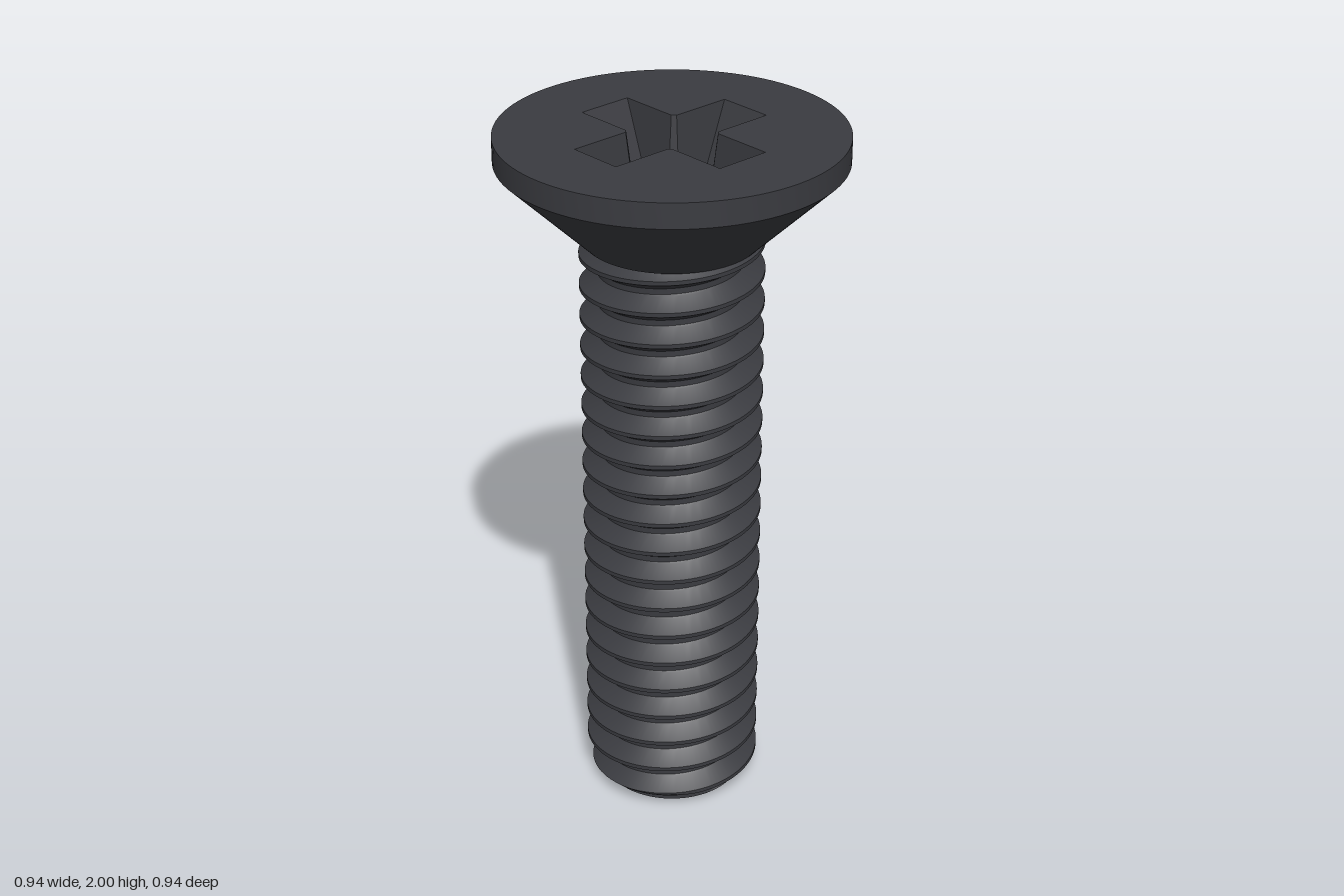
import * as THREE from 'three';
import { toCreasedNormals } from 'three/addons/utils/BufferGeometryUtils.js';

const SEG = 96;
const HEAD_R = 0.47, SHANK_R = 0.2, THREAD_R = 0.25;
const PITCH = 0.0906, PHASE = 0.085, THREAD_TOP = 1.72;
const DEPTH = 0.22, DRILL_R = 0.092;

// One thread pitch: [fraction of pitch, radius], starting at the crest centre
const PROFILE = [
  [0, THREAD_R], [0.065, THREAD_R], [0.36, 0.205], [0.41, SHANK_R],
  [0.59, SHANK_R], [0.64, 0.205], [0.935, THREAD_R], [1, THREAD_R],
];

function threadRadius(phase) {
  const t = phase - Math.floor(phase);
  for (let i = 1; i < PROFILE.length; i++) {
    const [t0, r0] = PROFILE[i - 1], [t1, r1] = PROFILE[i];
    if (t <= t1) return r0 + ((r1 - r0) * (t - t0)) / (t1 - t0);
  }
  return THREAD_R;
}

// Right-handed helical surface, cut flat at both ends and chamfered at the tip
function threadGeometry() {
  const point = (i, turn, t) => {
    const f = i / SEG, a = f * Math.PI * 2;
    const y = THREE.MathUtils.clamp((turn + t + f) * PITCH + PHASE, 0, THREAD_TOP);
    const r = Math.min(threadRadius((y - PHASE) / PITCH - f), SHANK_R + y);
    return new THREE.Vector3(Math.cos(a) * r, y, -Math.sin(a) * r);
  };
  const pos = [];
  const triangle = (a, b, c) => {
    const area = b.clone().sub(a).cross(c.clone().sub(a)).length();
    if (area > 1e-8) for (const p of [a, b, c]) pos.push(p.x, p.y, p.z);
  };
  const turns = Math.ceil(THREAD_TOP / PITCH) + 1;
  for (let turn = -3; turn < turns; turn++) {
    for (let j = 1; j < PROFILE.length; j++) {
      for (let i = 0; i < SEG; i++) {
        const a = point(i, turn, PROFILE[j - 1][0]), b = point(i + 1, turn, PROFILE[j - 1][0]);
        const c = point(i + 1, turn, PROFILE[j][0]), d = point(i, turn, PROFILE[j][0]);
        triangle(a, b, c);
        triangle(a, c, d);
      }
    }
  }
  const g = new THREE.BufferGeometry();
  g.setAttribute('position', new THREE.Float32BufferAttribute(pos, 3));
  return toCreasedNormals(g, 0.45);
}

// Cross outline: arm length, half width and inner corner chamfer
function crossOutline(len, w, c) {
  const pts = [];
  for (let q = 0; q < 4; q++) {
    for (const [x, y] of [[len, w], [w + c, w], [w, w + c], [w, len]]) {
      pts.push(new THREE.Vector2(x, y).rotateAround(new THREE.Vector2(), (q * Math.PI) / 2));
    }
  }
  return pts;
}

// Tapered walls joining the upper outline to the lower one
function wallGeometry(top, bottom) {
  const pos = [];
  top.forEach((t0, i) => {
    const j = (i + 1) % top.length;
    const t1 = top[j], b0 = bottom[i], b1 = bottom[j];
    pos.push(t0.x, t0.y, 0, t1.x, t1.y, 0, b0.x, b0.y, -DEPTH);
    pos.push(t1.x, t1.y, 0, b1.x, b1.y, -DEPTH, b0.x, b0.y, -DEPTH);
  });
  const g = new THREE.BufferGeometry();
  g.setAttribute('position', new THREE.Float32BufferAttribute(pos, 3));
  g.computeVertexNormals();
  return g.rotateX(-Math.PI / 2);
}

function circle(PathType, r) {
  return new PathType().absarc(0, 0, r, 0, Math.PI * 2, false);
}

export function createModel() {
  const group = new THREE.Group();
  const material = new THREE.MeshStandardMaterial({ color: 0x3a3b40 });
  const add = (name, geometry, y = 0) => {
    const mesh = new THREE.Mesh(geometry, material);
    mesh.name = name;
    mesh.position.y = y;
    group.add(mesh);
  };
  const lathe = (points) =>
    new THREE.LatheGeometry(points.map(([x, y]) => new THREE.Vector2(x, y)), SEG);
  const flat = (shape) => new THREE.ShapeGeometry(shape, SEG / 2).rotateX(-Math.PI / 2);

  // Threaded shank and its flat tip
  add('threadedShank', threadGeometry());
  add('shankTip', new THREE.CircleGeometry(SHANK_R, SEG).rotateX(Math.PI / 2));

  // Countersunk head with a short straight rim
  add('headSide', toCreasedNormals(lathe([[0.19, 1.705], [0.24, 1.705], [HEAD_R, 1.93], [HEAD_R, 2]]), 0.5));

  // Head face, open where the cross recess begins
  const upper = crossOutline(0.265, 0.08, 0.01);
  const lower = crossOutline(0.155, 0.055, 0.022);
  const face = circle(THREE.Shape, HEAD_R);
  face.holes.push(new THREE.Path(upper));
  add('headFace', flat(face), 2);

  // Cross recess: tapered walls, floor of the arms, conical centre
  add('recessWalls', wallGeometry(upper, lower), 2);
  const floor = new THREE.Shape(lower);
  floor.holes.push(circle(THREE.Path, DRILL_R));
  add('recessFloor', flat(floor), 2 - DEPTH);
  add('recessCentre', lathe([[DRILL_R, 0], [0, -0.03]]), 2 - DEPTH);

  return group;
}
